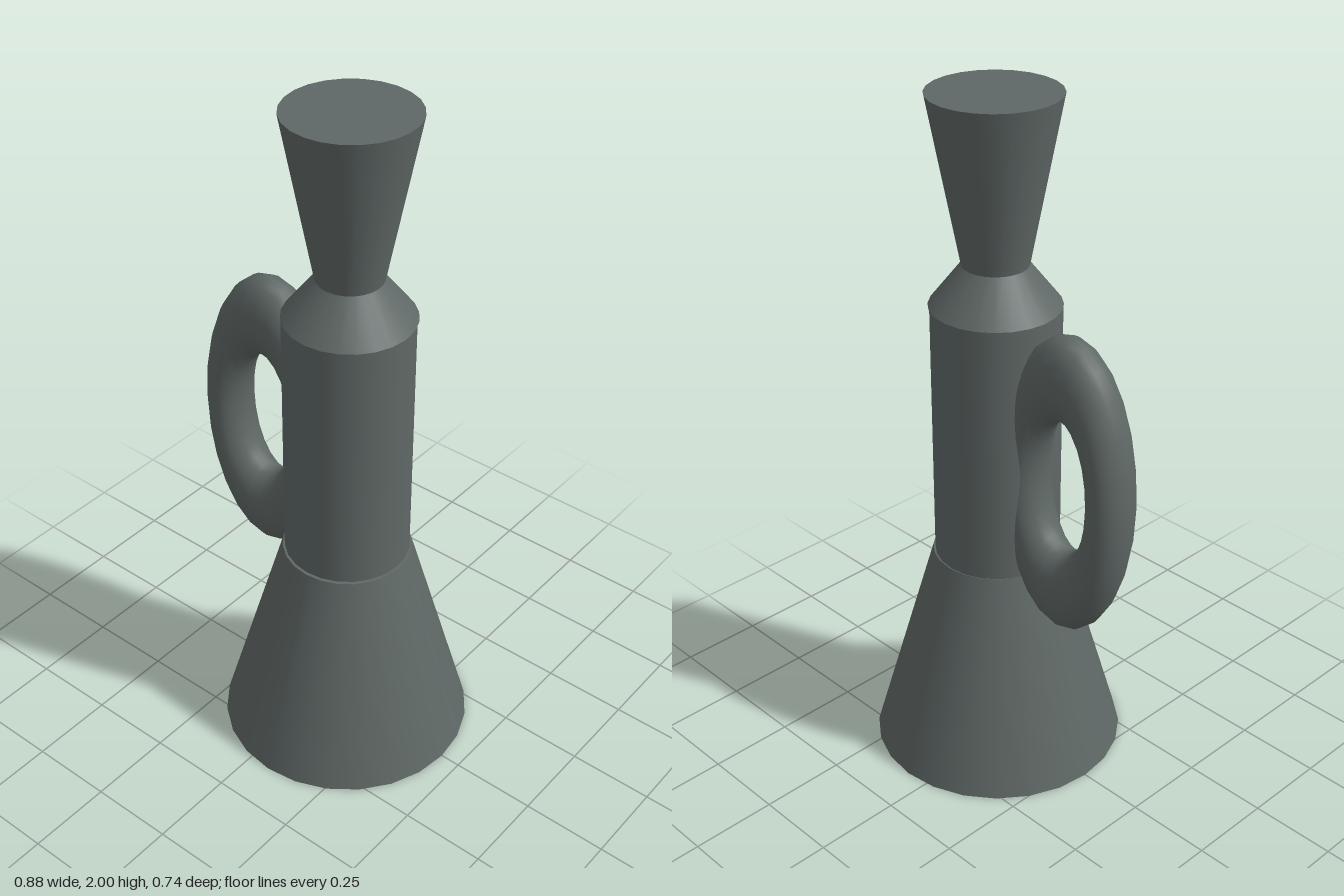
import * as THREE from 'three';

export function createModel() {
  const model = new THREE.Group();
  const slate = new THREE.MeshStandardMaterial({ color: 0x5f6866 });
  slate.name = 'slateGrey';

  // Round section standing between two heights
  function section(name, rBottom, rTop, y0, y1, x, z) {
    const geo = new THREE.CylinderGeometry(rTop, rBottom, y1 - y0, 24);
    const mesh = new THREE.Mesh(geo, slate);
    mesh.name = name;
    mesh.position.set(x, (y0 + y1) / 2, z);
    model.add(mesh);
  }

  section('flaredBase', 0.37, 0.187, 0, 0.643, 0.07, 0);
  section('body', 0.181, 0.181, 0.64, 1.413, 0.067, -0.003);
  section('shoulder', 0.184, 0.093, 1.413, 1.53, 0.068, -0.004);
  section('flaredNeck', 0.093, 0.182, 1.53, 2, 0.068, -0.004);

  // Oval ring handle, partly sunk into the body
  const handle = new THREE.Mesh(new THREE.TorusGeometry(0.159, 0.061, 24, 24), slate);
  handle.name = 'handle';
  handle.scale.set(1, 2.06, 1.25);
  handle.position.set(-0.22, 0.965, -0.013);
  model.add(handle);

  return model;
}
